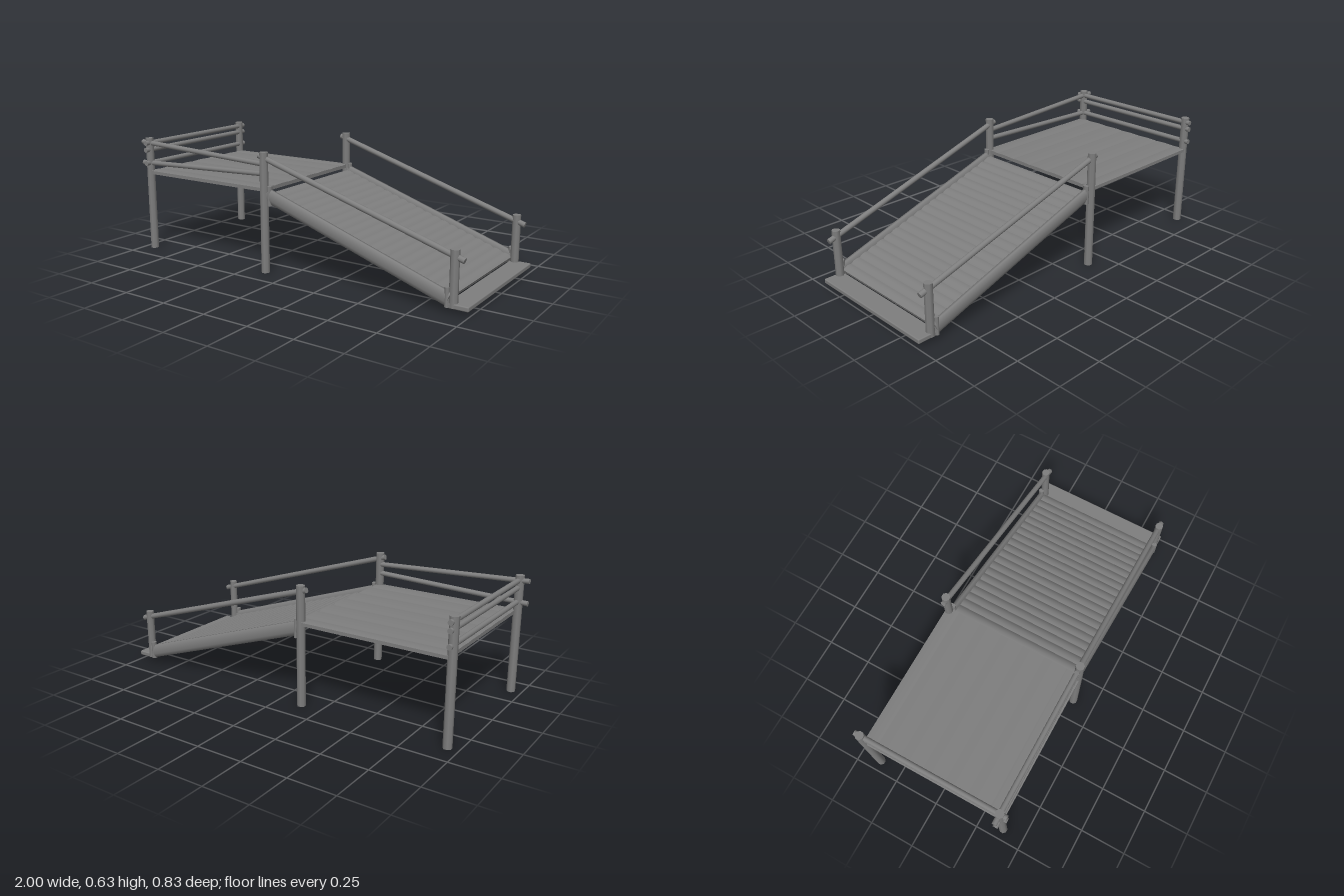
import * as THREE from 'three';
import { RoundedBoxGeometry } from 'three/addons/geometries/RoundedBoxGeometry.js';

const material = new THREE.MeshStandardMaterial({ color: 0x7e7e7e });

export function createModel() {
  const model = new THREE.Group();

  const add = (name, geometry, x, y, z) => {
    const mesh = new THREE.Mesh(geometry, material);
    mesh.name = name;
    mesh.position.set(x, y, z);
    model.add(mesh);
    return mesh;
  };

  // Upright eight-sided timber with flat ends, w and d measured across the flats
  const timber = (name, w, h, d, x, y, z) => {
    const geometry = new THREE.CylinderGeometry(0.5, 0.5, h, 8);
    const across = Math.cos(Math.PI / 8);
    geometry.rotateY(Math.PI / 8).scale(w / across, 1, d / across);
    return add(name, geometry, x, y, z);
  };

  // Board whose faces are gently arched across its width (z)
  const archedBoard = (length, thickness, width, arch) => {
    const geometry = new THREE.BoxGeometry(length, thickness, width, 1, 1, 8);
    const p = geometry.attributes.position;
    for (let i = 0; i < p.count; i++) {
      const t = p.getZ(i) / (width / 2);
      p.setY(i, p.getY(i) * (1 - arch * t * t));
    }
    geometry.computeVertexNormals();
    return geometry;
  };

  // Round pole between two points
  const pole = (name, from, to, radius = 0.0135) => {
    const a = new THREE.Vector3(...from), b = new THREE.Vector3(...to);
    const dir = b.clone().sub(a);
    const mid = a.clone().add(b).multiplyScalar(0.5);
    const mesh = add(name, new THREE.CylinderGeometry(radius, radius, dir.length(), 12), mid.x, mid.y, mid.z);
    mesh.quaternion.setFromUnitVectors(new THREE.Vector3(0, 1, 0), dir.normalize());
  };

  // Ramp runs from the platform edge down to the ground step
  const top = new THREE.Vector2(-0.12, 0.41);
  const foot = new THREE.Vector2(0.9, 0.065);
  const run = foot.clone().sub(top);
  const slope = run.angle();

  for (const s of [1, -1]) {
    // Upright posts
    timber('platformPost', 0.042, 0.63, 0.042, -0.943, 0.315, s * 0.381);
    timber('middlePost', 0.042, 0.63, 0.042, -0.137, 0.315, s * 0.381);
    timber('rampPost', 0.04, 0.272, 0.04, 0.918, 0.164, s * 0.364);

    // Ramp side beam with its end blocks
    const beam = timber('rampBeam', 0.07, run.length(), 0.032,
      (top.x + foot.x) / 2, (top.y + foot.y) / 2, s * 0.373);
    beam.rotation.z = slope + Math.PI / 2;
    timber('beamTopBlock', 0.022, 0.1, 0.03, -0.106, 0.407, s * 0.375);
    timber('beamFootBlock', 0.022, 0.095, 0.03, 0.892, 0.076, s * 0.375);

    // Sloping handrail
    pole('rampHandrail', [-0.17, 0.61, s * 0.379], [0.965, 0.252, s * 0.361], 0.0145);
  }

  // Platform planks, laid lengthwise, the outer two cut narrower
  const joints = [-0.398, -0.327, -0.2, -0.073, 0.054, 0.181, 0.308, 0.395];
  for (let i = 0; i < joints.length - 1; i++) {
    const width = joints[i + 1] - joints[i];
    add('platformPlank', archedBoard(0.81, 0.02, width, 0.25), -0.53, 0.44, joints[i] + width / 2);
  }
  // Flat underside closing the joints between the planks
  add('platformUnderside', new THREE.BoxGeometry(0.808, 0.012, 0.791), -0.53, 0.4355, -0.0015);

  // Ramp slats, arched across the slope
  const slats = 20, step = run.length() / slats;
  for (let i = 0; i < slats; i++) {
    const p = top.clone().lerp(foot, (i + 0.5) / slats);
    const geometry = archedBoard(0.735, 0.028, step, 0.45).rotateY(Math.PI / 2);
    add('rampSlat', geometry, p.x, p.y, 0).rotation.z = slope;
  }

  // Flat step at the foot of the ramp
  add('footStep', new RoundedBoxGeometry(0.11, 0.025, 0.765, 2, 0.006), 0.945, 0.037, 0);

  // End rails across the platform
  for (const y of [0.603, 0.565, 0.491]) {
    pole('endRail', [-0.94, y, 0.418], [-0.94, y + 0.003, -0.416]);
  }

  // Side rails on one side of the platform only
  pole('upperSideRail', [-0.995, 0.605, 0.38], [-0.125, 0.566, 0.376]);
  pole('lowerSideRail', [-0.995, 0.488, 0.38], [-0.125, 0.518, 0.376]);

  return model;
}
